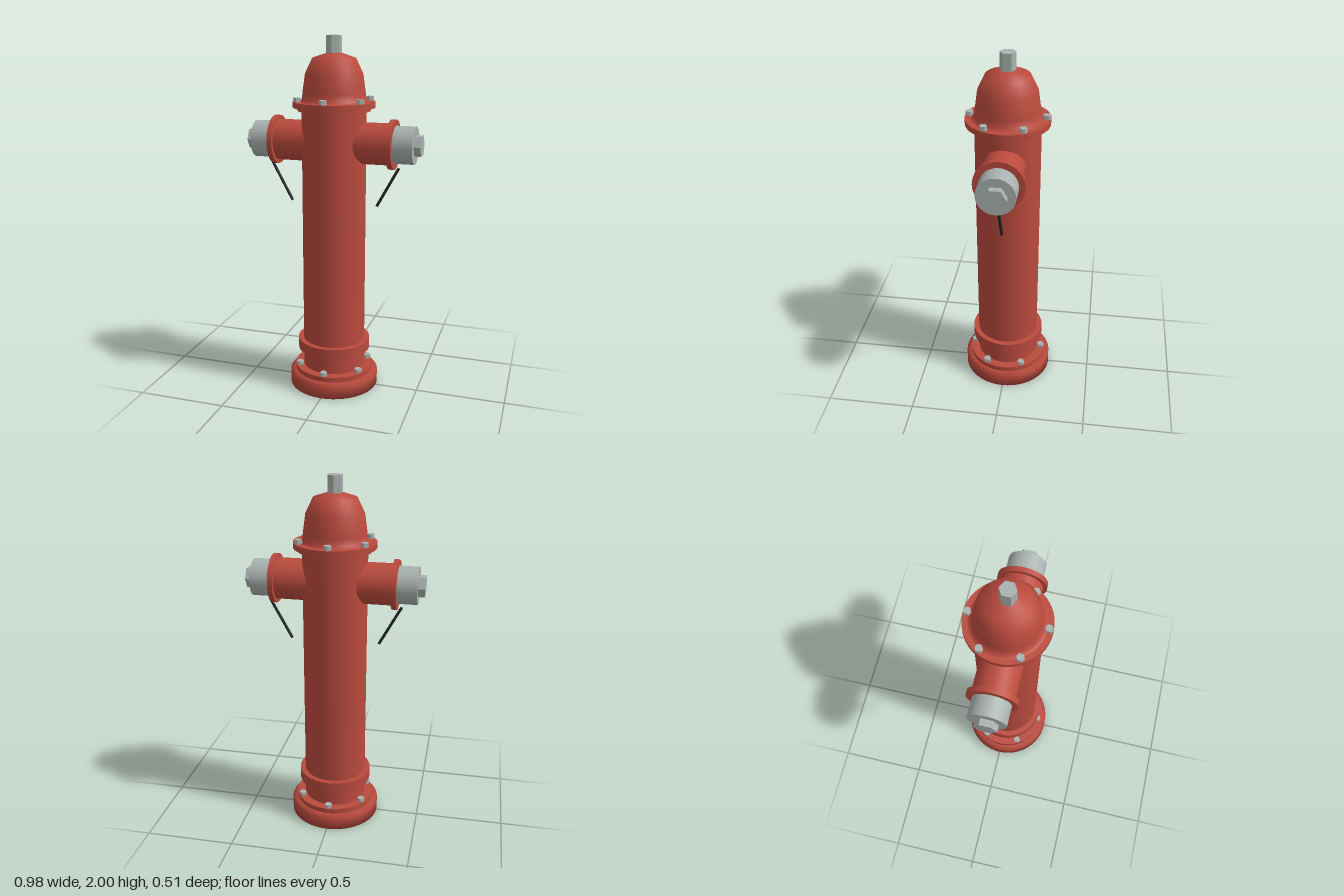
import * as THREE from 'three';

const red = new THREE.MeshStandardMaterial({ name: 'hydrant red', color: 0xba4a3d });
const grey = new THREE.MeshStandardMaterial({ name: 'steel grey', color: 0xa9b2b0 });
const dark = new THREE.MeshStandardMaterial({ name: 'dark iron', color: 0x24282a });

const AXIS_Y = 1.43; // height of the side outlets

function add(parent, name, geometry, material) {
  const mesh = new THREE.Mesh(geometry, material);
  mesh.name = name;
  parent.add(mesh);
  return mesh;
}

// Upright cylinder between two heights
function upright(parent, name, radius, y0, y1, material = red, sides = 48) {
  const mesh = add(parent, name, new THREE.CylinderGeometry(radius, radius, y1 - y0, sides), material);
  mesh.position.y = (y0 + y1) / 2;
  return mesh;
}

// Smooth turned shape from radius/height pairs
function turned(parent, name, profile) {
  const points = profile.map(([r, y]) => new THREE.Vector2(r, y));
  return add(parent, name, new THREE.LatheGeometry(points, 48), red);
}

// Six hexagonal bolts on a circle
function boltRing(parent, name, y0, y1) {
  const ring = new THREE.Group();
  ring.name = name;
  for (let i = 0; i < 6; i++) {
    const a = (i * Math.PI) / 3;
    const bolt = upright(ring, 'bolt', 0.021, y0, y1, grey, 6);
    bolt.geometry.computeVertexNormals();
    bolt.position.x = Math.sin(a) * 0.203;
    bolt.position.z = Math.cos(a) * 0.203;
    bolt.geometry = bolt.geometry.toNonIndexed();
    bolt.geometry.computeVertexNormals();
  }
  parent.add(ring);
}

function faceted(mesh) {
  mesh.geometry = mesh.geometry.toNonIndexed();
  mesh.geometry.computeVertexNormals();
  return mesh;
}

// Side outlet with collar, cap, nut and hanging handle
function outlet(parent, side) {
  const group = new THREE.Group();
  group.name = side > 0 ? 'leftOutlet' : 'rightOutlet';
  const along = (name, radius, x0, x1, material, sides = 40) => {
    const mesh = add(group, name, new THREE.CylinderGeometry(radius, radius, x1 - x0, sides), material);
    mesh.rotation.z = -side * Math.PI / 2;
    mesh.position.set(side * (x0 + x1) / 2, AXIS_Y, 0);
    return mesh;
  };
  along('outletPipe', 0.113, 0.05, 0.325, red);
  along('outletCollar', 0.135, 0.318, 0.346, red);
  along('outletCap', 0.102, 0.34, 0.455, grey);
  faceted(along('outletNut', 0.061, 0.45, 0.491, grey, 6));

  const top = new THREE.Vector3(side * 0.366, 1.302, 0);
  const end = new THREE.Vector3(side * 0.247, 1.084, 0);
  const dir = end.clone().sub(top);
  const handle = add(group, 'handle', new THREE.CylinderGeometry(0.008, 0.008, dir.length(), 10), dark);
  handle.position.copy(top).add(end).multiplyScalar(0.5);
  handle.quaternion.setFromUnitVectors(new THREE.Vector3(0, 1, 0), dir.normalize());
  parent.add(group);
}

export function createModel() {
  const model = new THREE.Group();
  model.name = 'fireHydrant';

  // Foot and lower flange
  turned(model, 'base', [[0, 0], [0.255, 0], [0.255, 0.075], [0.225, 0.088], [0, 0.088]]);
  upright(model, 'lowerFlange', 0.225, 0.08, 0.117);
  boltRing(model, 'lowerBolts', 0.11, 0.138);

  // Barrel and its band
  upright(model, 'barrel', 0.177, 0.1, 1.63);
  upright(model, 'barrelBand', 0.207, 0.218, 0.28);

  // Upper flange
  upright(model, 'upperFlangeRim', 0.2, 1.602, 1.625);
  upright(model, 'upperFlange', 0.225, 1.62, 1.651);
  boltRing(model, 'upperBolts', 1.645, 1.675);

  // Bonnet and operating nut
  turned(model, 'bonnet', [[0.198, 1.65], [0.175, 1.66], [0.171, 1.7], [0.157, 1.8], [0.117, 1.882], [0.04, 1.908], [0, 1.914]]);
  faceted(upright(model, 'topNut', 0.043, 1.89, 2, grey, 6));

  outlet(model, 1);
  outlet(model, -1);
  return model;
}
